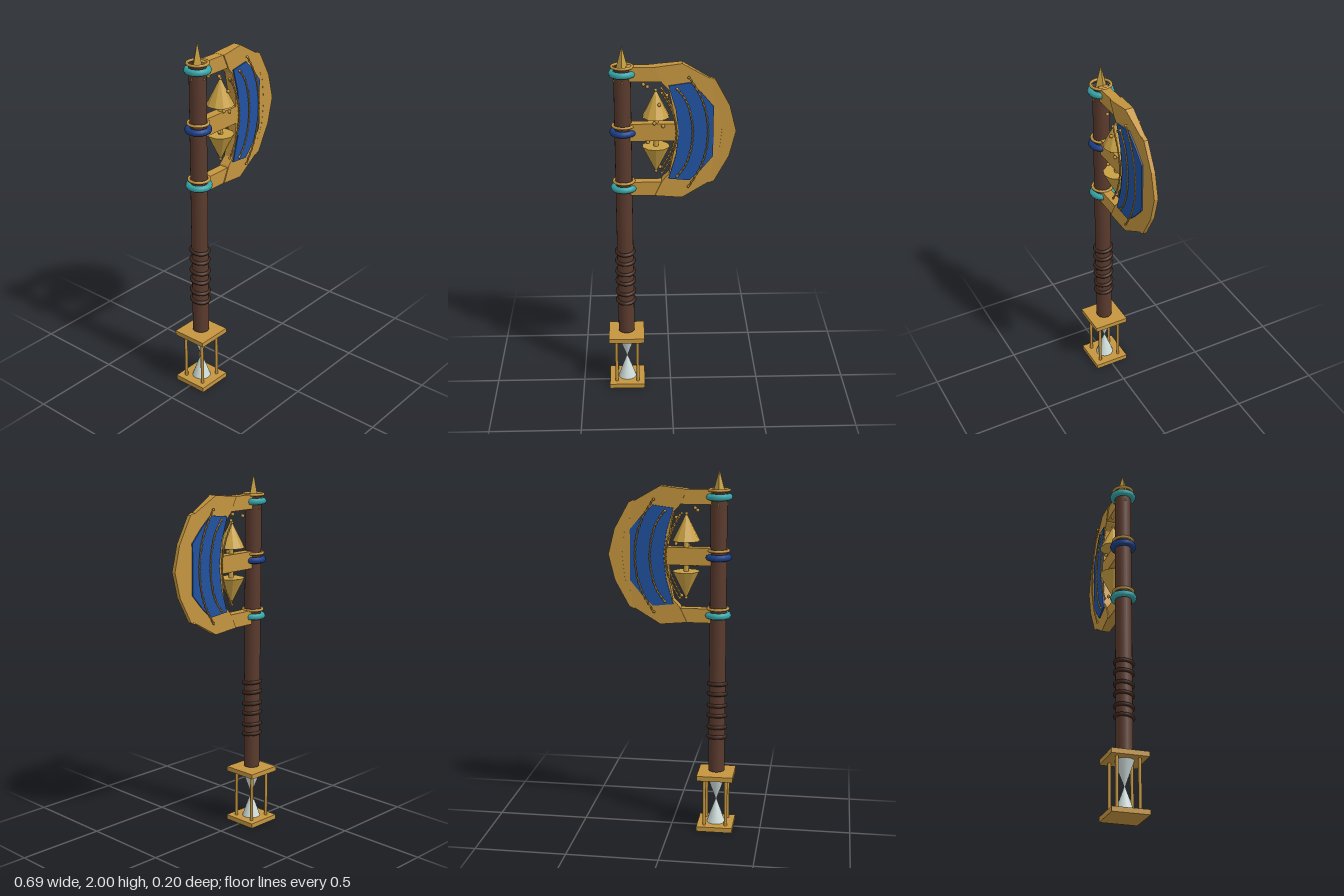
import * as THREE from 'three';

const SHAFT_X = -0.25, MID_Y = 1.537;

const mat = (name, color) => {
  const m = new THREE.MeshStandardMaterial({ color });
  m.name = name;
  return m;
};

export function createModel() {
  const gold = mat('gold', 0xc4953f);
  const brightGold = mat('bright gold', 0xc9a144);
  const wood = mat('dark wood', 0x5a3a2d);
  const leather = mat('leather', 0x3d261c);
  const teal = mat('teal', 0x36a5a8);
  const blue = mat('blue', 0x2152a0);
  const navy = mat('navy', 0x1b3f8a);
  const glass = mat('glass', 0xcfdedb);
  glass.side = THREE.DoubleSide;

  const model = new THREE.Group();
  model.name = 'axe';
  const add = (name, geo, material, x = 0, y = 0, z = 0, parent = model) => {
    const m = new THREE.Mesh(geo, material);
    m.name = name;
    m.position.set(x, y, z);
    parent.add(m);
    return m;
  };
  const flat = (geo) => {
    const g = geo.index ? geo.toNonIndexed() : geo;
    g.computeVertexNormals();
    return g;
  };
  const ring = (name, y, radius, tube, material, tilt = 0) => {
    const m = add(name, new THREE.TorusGeometry(radius, tube, 8, 18), material, SHAFT_X, y);
    m.rotation.x = Math.PI / 2 + tilt;
    return m;
  };
  // Points given from the top down to the middle, completed by mirroring about MID_Y
  const mirrored = (half) => [
    ...half.map(([x, d]) => [x, MID_Y + d]),
    ...half.slice(0, -1).reverse().map(([x, d]) => [x, MID_Y - d]),
  ];
  // Crescent plate whose half thickness varies along x
  const crescent = (outer, inner, halfThickness) => {
    const outline = [...mirrored(outer), ...mirrored(inner).reverse()];
    const shape = new THREE.Shape(outline.map(([x, y]) => new THREE.Vector2(x, y)));
    const geo = new THREE.ExtrudeGeometry(shape, { depth: 1, bevelEnabled: false });
    const p = geo.attributes.position;
    for (let i = 0; i < p.count; i++) {
      p.setZ(i, (p.getZ(i) > 0.5 ? 1 : -1) * halfThickness(p.getX(i)));
    }
    return flat(geo);
  };

  // Handle
  add('shaft', new THREE.CylinderGeometry(0.045, 0.045, 1.545, 20), wood, SHAFT_X, 1.1075);
  add('spike', flat(new THREE.ConeGeometry(0.05, 0.19, 4)), brightGold, SHAFT_X, 1.905);
  [0.835, 0.778, 0.712, 0.655, 0.588, 0.532].forEach((y) => ring('gripWrap', y, 0.047, 0.011, leather, 0.13));

  // Collars where the arms meet the shaft
  [[1.855, teal], [1.535, navy], [1.22, teal]].forEach(([y, material]) => {
    ring('collar', y, 0.054, 0.018, material);
    ring('collarTrim', y + 0.036, 0.054, 0.008, gold);
  });

  // Hourglass pommel
  const pommel = new THREE.Group();
  pommel.name = 'hourglass';
  pommel.position.x = SHAFT_X;
  model.add(pommel);
  [0.0135, 0.3125].forEach((y) => add('plate', new THREE.BoxGeometry(0.2, 0.027, 0.2), gold, 0, y, 0, pommel));
  for (const x of [-0.06, 0.06]) {
    for (const z of [-0.06, 0.06]) {
      add('post', new THREE.CylinderGeometry(0.009, 0.009, 0.28, 10), gold, x, 0.163, z, pommel);
    }
  }
  const glassProfile = [[0.051, 0.027], [0.043, 0.05], [0.031, 0.085], [0.018, 0.12], [0.008, 0.148], [0.004, 0.163],
    [0.008, 0.178], [0.018, 0.206], [0.031, 0.241], [0.043, 0.276], [0.051, 0.299]];
  add('bulbs', new THREE.LatheGeometry(glassProfile.map(([r, y]) => new THREE.Vector2(r, y)), 16), glass, 0, 0, 0, pommel);

  // Arms carrying the blade
  const arm = (name, x0, x1, y0, y1) =>
    add(name, new THREE.BoxGeometry(x1 - x0, y1 - y0, 0.052), gold, (x0 + x1) / 2, (y0 + y1) / 2);
  arm('upperArm', -0.23, -0.03, 1.815, 1.893);
  arm('middleArm', -0.23, 0.04, 1.49, 1.585);
  arm('lowerArm', -0.23, -0.03, 1.178, 1.256);

  // Blade: tapered body, cutting edge and inlaid panel
  const bodyThickness = (x) => Math.max(0.01, 0.033 - (x + 0.085) * 0.072);
  add('bladeBody', crescent(
    [[-0.085, 0.357], [0.06, 0.373], [0.22, 0.28], [0.27, 0.13], [0.285, 0]],
    [[-0.045, 0.272], [-0.01, 0.235], [0.013, 0.12], [0.024, 0]],
    bodyThickness), gold);
  add('bladeEdge', crescent(
    [[0.205, 0.295], [0.232, 0.283], [0.31, 0.14], [0.345, 0]],
    [[0.195, 0.265], [0.255, 0.13], [0.27, 0]],
    () => 0.0112), gold);
  add('bladePanel', crescent(
    [[0.1, 0.272], [0.16, 0.215], [0.225, 0.138], [0.225, 0]],
    [[-0.012, 0.258], [0.026, 0.13], [0.042, 0]],
    (x) => bodyThickness(x) + 0.0075), blue);

  // Rippled wire arcs in front of and behind the blade
  const arcs = [
    [[-0.045, 0.222], [-0.008, 0.155], [0.02, 0.08], [0.03, 0]],
    [[0.035, 0.243], [0.078, 0.18], [0.106, 0.09], [0.115, 0]],
    [[0.095, 0.303], [0.152, 0.205], [0.186, 0.1], [0.195, 0]],
  ];
  for (const half of arcs) {
    const base = new THREE.CatmullRomCurve3(mirrored(half).map(([x, y]) => new THREE.Vector3(x, y, 0)));
    const points = base.getSpacedPoints(40).map((p, i) => p.setX(p.x + (i % 2 ? 0.002 : -0.002)));
    const tube = new THREE.TubeGeometry(new THREE.CatmullRomCurve3(points), 80, 0.0045, 6);
    for (const z of [-0.038, 0.038]) {
      add('wireArc', tube, gold, 0, 0, z);
      for (const end of [points[0], points[40]]) {
        add('wireEnd', new THREE.SphereGeometry(0.0075, 8, 6), gold, end.x, end.y, z);
      }
    }
  }

  // Paired cones above and below the middle arm
  for (const s of [1, -1]) {
    const cone = add('ornamentCone', flat(new THREE.ConeGeometry(0.074, 0.148, 10)), brightGold, -0.077, MID_Y + s * 0.156);
    if (s < 0) cone.rotation.x = Math.PI;
    add('ornamentStem', new THREE.CylinderGeometry(0.014, 0.014, 0.06, 10), brightGold, -0.077, MID_Y + s * 0.065);
    add('ornamentTip', new THREE.SphereGeometry(0.009, 8, 6), brightGold, -0.077, MID_Y + s * 0.226);
  }

  // Loose beads around the cones
  [[-0.14, 1.785, -0.025], [-0.12, 1.79, 0.03], [-0.02, 1.74, 0.02], [-0.06, 1.695, 0.04], [-0.025, 1.605, -0.025],
    [-0.04, 1.575, 0.03], [-0.085, 1.59, 0.03], [-0.12, 1.485, 0.03], [-0.055, 1.325, -0.02]].forEach(([x, y, z]) =>
    add('bead', new THREE.SphereGeometry(0.01, 8, 6), gold, x, y, z));

  return model;
}
